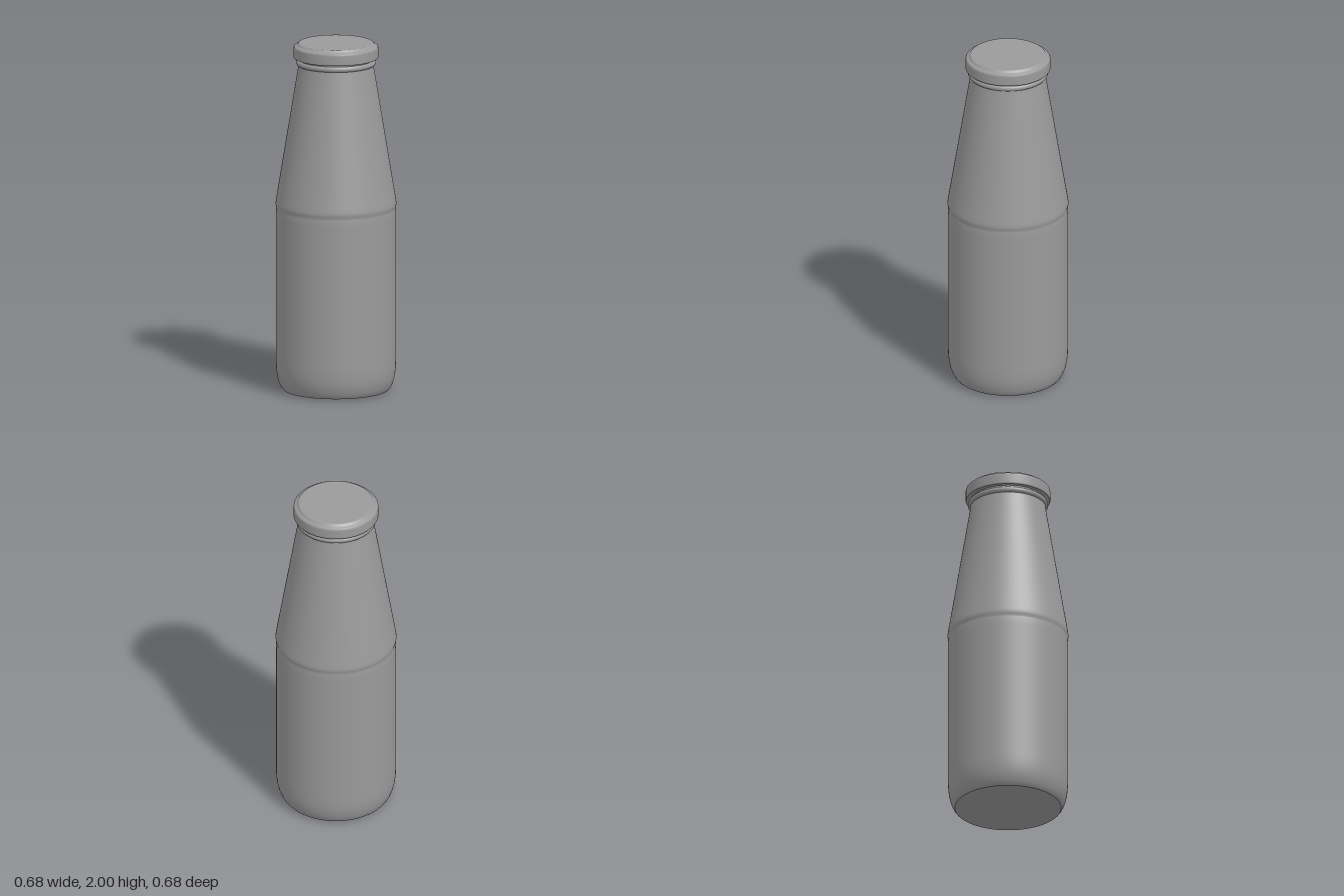
import * as THREE from 'three';

const material = new THREE.MeshStandardMaterial({ color: 0x9a9a9a });
const SEGMENTS = 96;

// Revolves a bottom-to-top profile of [radius, height] pairs
function lathe(name, profile) {
  const points = profile.map(([r, y]) => new THREE.Vector2(r, y));
  const mesh = new THREE.Mesh(new THREE.LatheGeometry(points, SEGMENTS), material);
  mesh.name = name;
  return mesh;
}

// Rounded bead around the neck
function bead(name, inner, bulge, y0, y1) {
  const profile = [];
  for (let i = 0; i <= 12; i++) {
    const a = (i / 12) * Math.PI;
    profile.push([inner + bulge * Math.sin(a), (y0 + y1) / 2 - ((y1 - y0) / 2) * Math.cos(a)]);
  }
  return lathe(name, profile);
}

export function createModel() {
  const bottle = new THREE.Group();
  bottle.name = 'bottle';

  // Flat base
  bottle.add(lathe('base', [[0, 0], [0.23, 0], [0.3, 0.008]]));

  // Body with a rounded heel, and a neck that starts just past a shallow crease
  bottle.add(lathe('body', [
    [0.3, 0.008], [0.309, 0.019], [0.317, 0.035], [0.326, 0.06], [0.333, 0.092], [0.337, 0.13],
    [0.338, 0.17], [0.338, 0.2], [0.338, 1.0], [0.338, 1.03], [0.336, 1.043], [0.336, 1.052],
    [0.339, 1.064], [0.341, 1.075], [0.339, 1.09], [0.336, 1.11],
    [0.215, 1.85], [0.212, 1.875],
  ]));

  // Bead and short throat below the cap
  bottle.add(bead('neckBead', 0.212, 0.014, 1.872, 1.904));
  bottle.add(lathe('throat', [[0.213, 1.87], [0.213, 1.92]]));

  // Cap: flat underside, then a skirt that rolls smoothly over the rim to the raised top
  const cap = new THREE.Group();
  cap.name = 'cap';
  cap.add(lathe('capUnderside', [[0.2, 1.914], [0.236, 1.914]]));
  cap.add(lathe('capShell', [
    [0.236, 1.914], [0.239, 1.918], [0.239, 1.925], [0.239, 1.968], [0.238, 1.977], [0.234, 1.982],
    [0.228, 1.984], [0.222, 1.986], [0.217, 1.991], [0.213, 1.997], [0.208, 2], [0.2, 2], [0, 2],
  ]));
  bottle.add(cap);

  return bottle;
}
